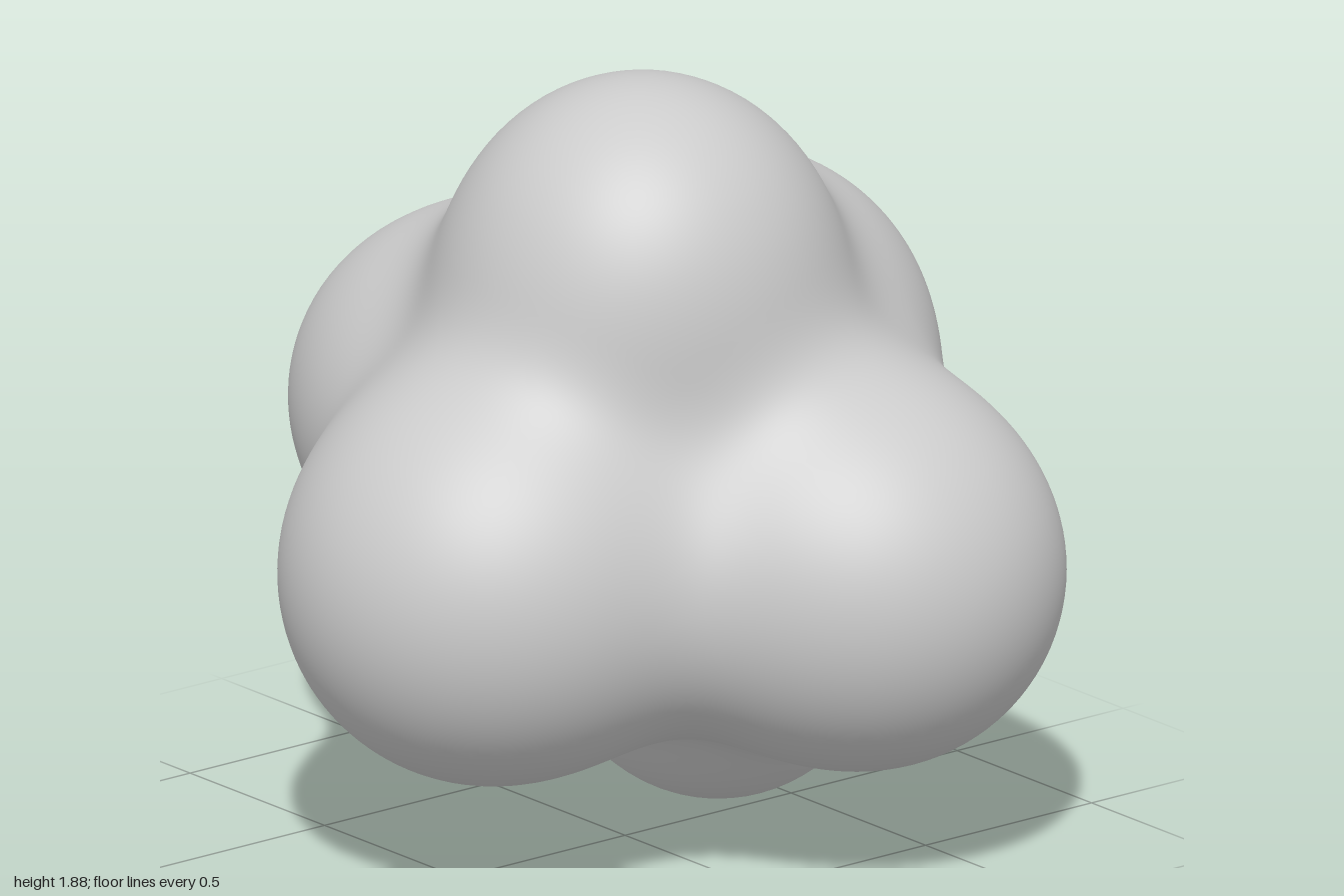
import * as THREE from 'three';
import { mergeVertices } from 'three/addons/utils/BufferGeometryUtils.js';

// Lobes of the blob: centre and radius
const lobe = (x, y, z, r) => ({ a: new THREE.Vector3(x, y, z), b: new THREE.Vector3(x, y, z), r });
const top = lobe(0.07, 1.46, 0.01, 0.41);
const right = lobe(-0.6, 0.95, 0, 0.39);
const front = lobe(0.04, 0.74, 0.45, 0.48);
const left = lobe(0.54, 0.73, -0.3, 0.455);
const back = lobe(-0.2, 1.07, -0.54, 0.39);
const bottom = lobe(-0.13, 0.36, -0.38, 0.35);
const core = lobe(0, 0.88, -0.08, 0.48);

// Bridges fill the saddle between two neighbouring lobes
const bridge = (p, q, r) => ({
  a: p.a.clone().lerp(q.a, 0.28),
  b: p.a.clone().lerp(q.a, 0.72),
  r,
});
const PARTS = [
  top, right, front, left, back, bottom, core,
  bridge(top, right, 0.28),
  bridge(top, back, 0.33),
  bridge(top, front, 0.29),
  bridge(top, left, 0.23),
  bridge(right, back, 0.31),
  bridge(right, front, 0.3),
  bridge(right, bottom, 0.21),
  bridge(left, front, 0.3),
  bridge(left, back, 0.29),
  bridge(left, bottom, 0.22),
  bridge(back, bottom, 0.28),
];
const BLEND = 0.085;

// Distance to the softly blended union of all capsules
const segment = new THREE.Line3();
const nearest = new THREE.Vector3();
function distance(p) {
  let sum = 0;
  for (const { a, b, r } of PARTS) {
    if (a.equals(b)) nearest.copy(a);
    else segment.set(a, b).closestPointToPoint(p, true, nearest);
    sum += Math.exp((r - p.distanceTo(nearest)) / BLEND);
  }
  return -BLEND * Math.log(sum);
}

// Walk inwards along a ray until the blob's surface is met
function surfacePoint(dir, target) {
  let t = 1.5;
  for (let i = 0; i < 60; i++) {
    const d = distance(target.copy(core.a).addScaledVector(dir, t));
    if (Math.abs(d) < 2e-4) break;
    t -= d * 0.9;
  }
  return target;
}

export function createModel() {
  const group = new THREE.Group();

  // Sphere pushed out to the blended surface
  let geometry = new THREE.IcosahedronGeometry(1, 34);
  geometry.deleteAttribute('uv');
  geometry.deleteAttribute('normal');
  geometry = mergeVertices(geometry, 1e-4);
  const pos = geometry.attributes.position;
  const dir = new THREE.Vector3();
  const point = new THREE.Vector3();
  for (let i = 0; i < pos.count; i++) {
    dir.fromBufferAttribute(pos, i).normalize();
    surfacePoint(dir, point);
    pos.setXYZ(i, point.x, point.y, point.z);
  }
  geometry.computeVertexNormals();

  const blob = new THREE.Mesh(geometry, new THREE.MeshStandardMaterial({ color: 0xcccccc }));
  blob.name = 'lobedBlob';
  group.add(blob);
  return group;
}
